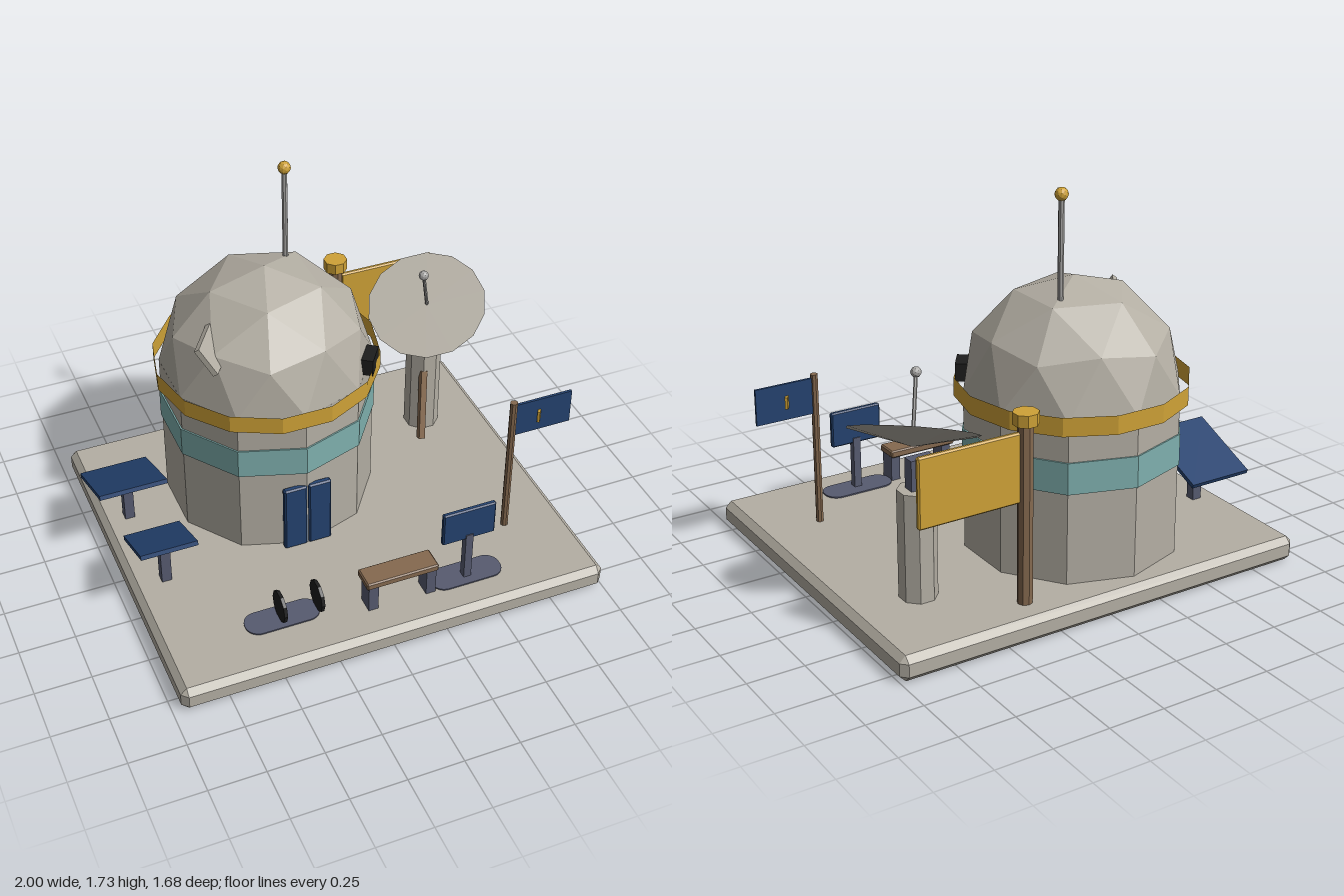
import * as THREE from 'three';
import { ConvexGeometry } from 'three/addons/geometries/ConvexGeometry.js';

const material = (name, color, extra = {}) => {
  const m = new THREE.MeshStandardMaterial({ color, flatShading: true, ...extra });
  m.name = name;
  return m;
};

// Box with chamfered edges, built from its 24 corner points
function chamferBox(w, h, d, c) {
  const pts = [];
  for (const sx of [-1, 1]) for (const sy of [-1, 1]) for (const sz of [-1, 1]) {
    const x = w / 2, y = h / 2, z = d / 2;
    pts.push(
      new THREE.Vector3(sx * x, sy * (y - c), sz * (z - c)),
      new THREE.Vector3(sx * (x - c), sy * y, sz * (z - c)),
      new THREE.Vector3(sx * (x - c), sy * (y - c), sz * z));
  }
  return new ConvexGeometry(pts);
}

// Flat stadium-shaped plate lying on the ground
function stadium(w, d, r) {
  const s = new THREE.Shape();
  const x = w / 2 - r, y = d / 2 - r;
  s.absarc(x, y, r, 0, Math.PI / 2);
  s.absarc(-x, y, r, Math.PI / 2, Math.PI);
  s.absarc(-x, -y, r, Math.PI, Math.PI * 1.5);
  s.absarc(x, -y, r, Math.PI * 1.5, Math.PI * 2);
  return new THREE.ExtrudeGeometry(s, { depth: 0.006, bevelEnabled: false, curveSegments: 5 }).rotateX(-Math.PI / 2);
}

export function createModel() {
  const model = new THREE.Group();
  model.name = 'observatory';
  const stone = material('stone grey', 0xb4afa4);
  const metal = material('metal grey', 0xa9a8a6);
  const gold = material('gold', 0xcfa237, { side: THREE.DoubleSide });
  const teal = material('teal', 0x7fb0ae);
  const navy = material('navy', 0x24426f);
  const wood = material('wood brown', 0x85694f);
  const slate = material('slate', 0x575b70);
  const black = material('black', 0x1d1d1d);

  const add = (name, geometry, mat, x, y, z, parent = model) => {
    const mesh = new THREE.Mesh(geometry, mat);
    mesh.name = name;
    mesh.position.set(x, y, z);
    parent.add(mesh);
    return mesh;
  };
  const box = (w, h, d) => new THREE.BoxGeometry(w, h, d);
  const cyl = (r, h, n) => new THREE.CylinderGeometry(r, r, h, n);
  const up = new THREE.Vector3(0, 1, 0);
  // Places a part so that its y axis runs from a to b
  const between = (name, makeGeometry, mat, a, b) => {
    const p = new THREE.Vector3(...a), q = new THREE.Vector3(...b);
    const mid = p.clone().add(q).multiplyScalar(0.5);
    const mesh = add(name, makeGeometry(p.distanceTo(q)), mat, mid.x, mid.y, mid.z);
    mesh.quaternion.setFromUnitVectors(up, q.sub(p).normalize());
    return mesh;
  };

  const G = 0.113; // ground level on top of the slab
  add('baseSlab', chamferBox(1.96, G, 1.68, 0.028), stone, 0.02, G / 2, 0);

  // Ten-sided tower with window band and open gold ring
  const TX = -0.15, TZ = -0.285;
  add('towerWall', cyl(0.475, 0.72, 10), stone, TX, 0.47, TZ);
  add('windowBand', cyl(0.482, 0.14, 10), teal, TX, 0.592, TZ);
  add('goldRing', new THREE.CylinderGeometry(0.505, 0.505, 0.083, 14, 1, true).rotateY(Math.PI / 2), gold, TX, 0.829, TZ);

  // Faceted dome with a vertex at its top
  const dome = new THREE.IcosahedronGeometry(0.475, 1);
  dome.rotateX(-Math.atan((1 + Math.sqrt(5)) / 2)).rotateY(-Math.PI / 2);
  add('dome', dome, stone, TX, 0.832, TZ);

  // Raised hatch plate on the dome
  const hatch = add('domeHatch', box(0.19, 0.14, 0.025), stone, -0.47, 1.095, -0.075);
  const along = new THREE.Vector3(-0.55, 0, 0.83).normalize();
  const rise = new THREE.Vector3(-0.07, 0.125, -0.046).normalize();
  hatch.quaternion.setFromRotationMatrix(
    new THREE.Matrix4().makeBasis(along, rise, along.clone().cross(rise)));

  const vent = add('domeVent', box(0.115, 0.08, 0.055), black, 0.23, 0.88, -0.015);
  vent.rotation.y = 0.95;

  add('antennaRod', cyl(0.013, 0.5, 8), metal, -0.01, 1.43, -0.395);
  add('antennaBall', new THREE.IcosahedronGeometry(0.029, 1), gold, -0.01, 1.697, -0.395);

  // Double door
  for (const s of [-1, 1])
    add(s < 0 ? 'rightDoor' : 'leftDoor', chamferBox(0.107, 0.337, 0.032, 0.007), navy, -0.147 + s * 0.057, G + 0.168, 0.184);

  // Tilted solar panels on posts
  for (const [x, z, w, d] of [[-0.845, -0.285, 0.31, 0.37], [-0.818, 0.165, 0.255, 0.285]]) {
    const panel = add('solarPanel', box(w, 0.02, d), navy, x, 0.338, z);
    panel.rotation.x = -0.39;
    add('panelPost', box(0.045, 0.215, 0.045), slate, x + 0.01, G + 0.107, z);
  }

  // Bench
  add('benchSeat', chamferBox(0.335, 0.035, 0.11, 0.006), wood, 0.09, 0.254, 0.64);
  for (const s of [-1, 1])
    add('benchLeg', box(0.045, 0.125, 0.08), slate, 0.09 + s * 0.135, G + 0.062, 0.65);

  // Ground plates and upright discs
  add('wheelPlate', stadium(0.335, 0.13, 0.06), slate, -0.425, G, 0.582);
  add('signPlate', stadium(0.335, 0.135, 0.06), slate, 0.415, G, 0.637);
  for (const x of [-0.432, -0.262])
    add('wheel', cyl(0.072, 0.015, 10).rotateZ(Math.PI / 2), black, x, G + 0.07, 0.585);

  // Sign
  add('signPost', box(0.035, 0.25, 0.035), slate, 0.413, G + 0.125, 0.647);
  add('signBoard', chamferBox(0.248, 0.168, 0.025, 0.006), navy, 0.411, 0.421, 0.647);

  // Flag
  add('flagPole', cyl(0.017, 0.7, 8), wood, 0.72, G + 0.35, 0.415);
  add('flag', box(0.27, 0.165, 0.012), navy, 0.865, 0.715, 0.415);
  const emblem = add('flagEmblem', box(0.06, 0.055, 0.012), gold, 0.85, 0.715, 0.415);
  emblem.rotation.y = 0.95;

  // Gold banner on a capped pole
  add('bannerPole', cyl(0.033, 0.79, 8), wood, 0.355, G + 0.395, -0.7);
  add('bannerCap', cyl(0.055, 0.052, 8).rotateY(Math.PI / 8), gold, 0.355, 0.925, -0.703);
  add('banner', chamferBox(0.465, 0.305, 0.024, 0.007), gold, 0.612, 0.715, -0.697);

  // Dish: pedestal, mount, leaning strut, shallow dish and feed
  add('dishPedestal', cyl(0.082, 0.48, 8).rotateY(Math.PI / 8), stone, 0.69, G + 0.24, -0.418);
  add('dishMount', box(0.11, 0.14, 0.055), slate, 0.67, 0.655, -0.415);
  between('dishStrut', l => box(0.03, l, 0.03), wood, [0.612, 0.14, -0.25], [0.662, 0.455, -0.355]);
  const dish = add('dish', new THREE.ConeGeometry(0.274, 0.06, 14).rotateX(Math.PI).translate(0, -0.03, 0), stone, 0.675, 0.82, -0.378);
  dish.quaternion.setFromUnitVectors(up, new THREE.Vector3(-0.3, 0.88, 0.36).normalize());
  between('feedRod', l => cyl(0.008, l, 6), metal, [0.68, 0.815, -0.383], [0.62, 1.04, -0.308]);
  add('feedBall', new THREE.IcosahedronGeometry(0.023, 1), metal, 0.62, 1.04, -0.308);

  return model;
}
